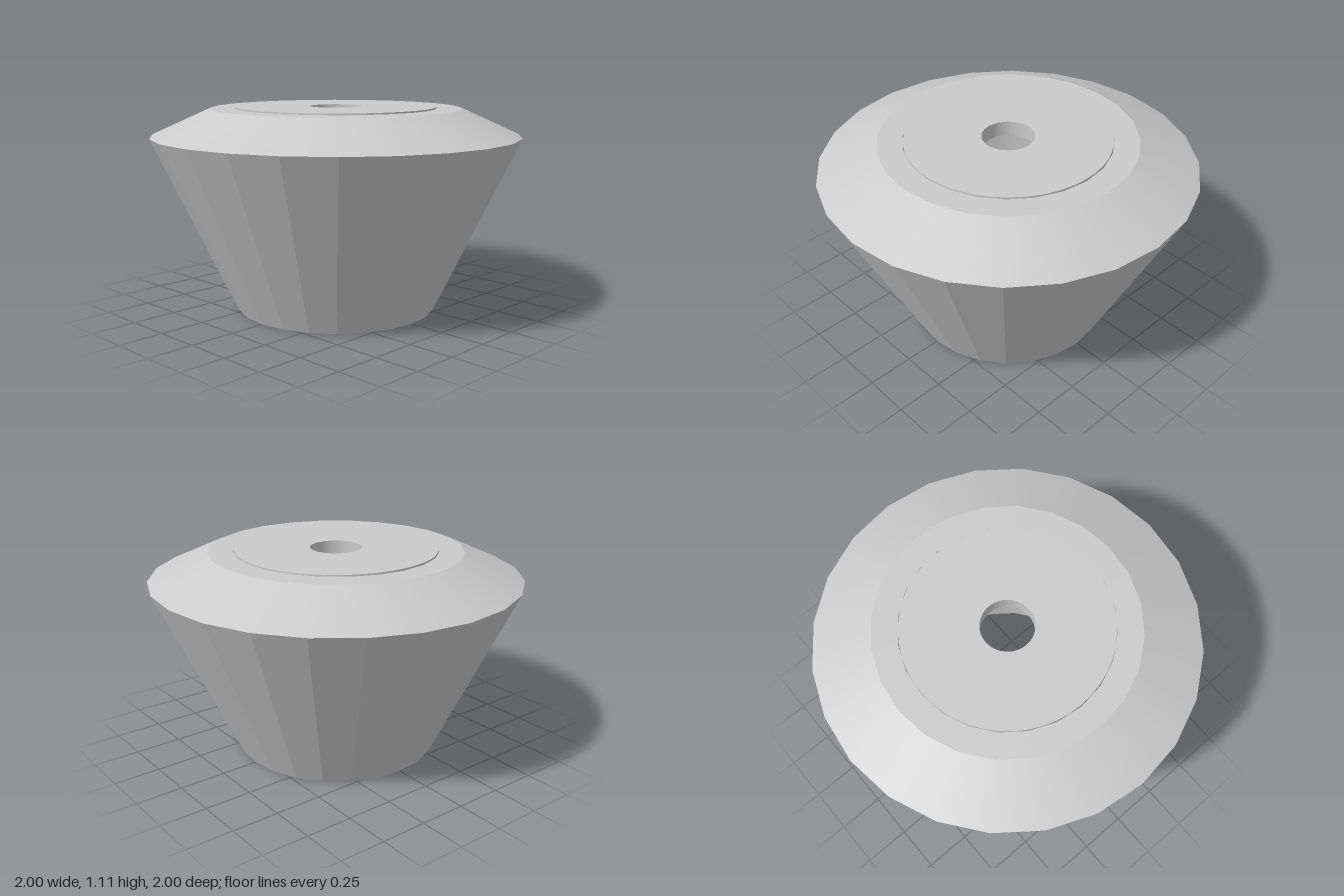
import * as THREE from 'three';

const SIDES = 24;
const smooth = new THREE.MeshStandardMaterial({ color: 0xcccccc });
const faceted = new THREE.MeshStandardMaterial({ color: 0xcccccc, flatShading: true });

// Revolves each span of a profile on its own, so the edges between spans stay sharp.
function revolve(name, profile, segments, material = smooth) {
  const group = new THREE.Group();
  group.name = name;
  for (let i = 0; i < profile.length - 1; i++) {
    const span = [profile[i], profile[i + 1]].map(([r, y]) => new THREE.Vector2(r, y));
    const mesh = new THREE.Mesh(new THREE.LatheGeometry(span, segments), material);
    mesh.name = `${name}Surface${i + 1}`;
    group.add(mesh);
  }
  return group;
}

export function createModel() {
  const model = new THREE.Group();
  model.name = 'taperedFoot';

  const bottomRadius = 0.55, rimRadius = 1, shoulderRadius = 0.68, boreRadius = 0.547;
  const rimY = 0.955, shoulderY = 1.1;

  // Flared outer wall with flat facets
  model.add(revolve('outerWall', [[bottomRadius, 0], [rimRadius, rimY]], SIDES, faceted));

  // Smooth bevel, flat shoulder, straight bore and the thin bottom lip
  model.add(revolve('bevel', [[rimRadius, rimY], [shoulderRadius, shoulderY]], SIDES));
  model.add(revolve('shoulderAndBore', [
    [shoulderRadius, shoulderY], [boreRadius, shoulderY], [boreRadius, 0], [bottomRadius, 0],
  ], SIDES));

  // Washer set into the top of the bore, with a round centre hole
  const discRadius = 0.542, holeRadius = 0.139, discTop = 1.108, discBottom = 1.025;
  model.add(revolve('topWasher', [
    [holeRadius, discBottom], [discRadius, discBottom], [discRadius, discTop], [holeRadius, discTop],
  ], 48));
  model.add(revolve('centreHole', [[holeRadius, discTop], [holeRadius, discBottom]], 48));

  return model;
}
